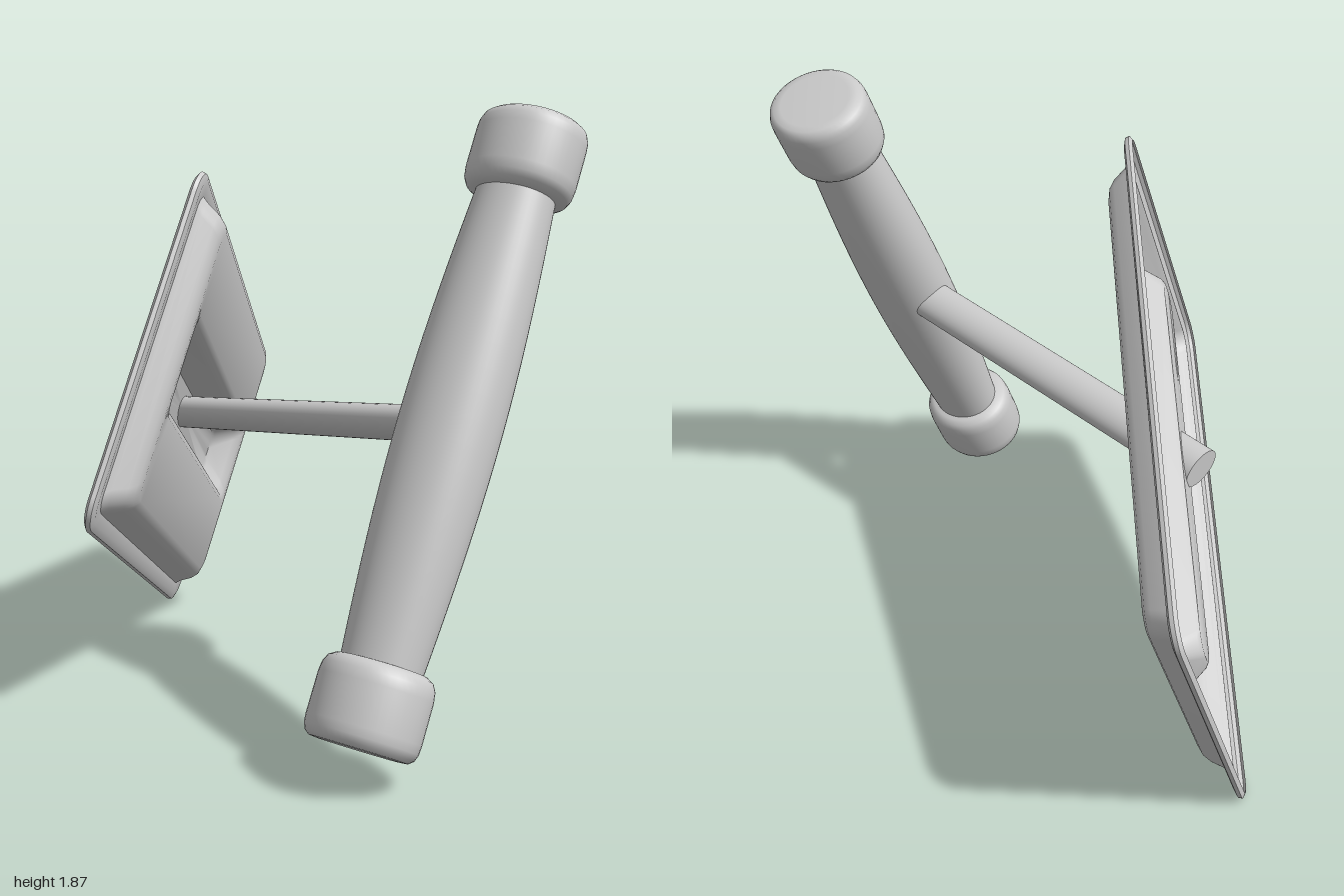
import * as THREE from 'three';
import { toCreasedNormals } from 'three/addons/utils/BufferGeometryUtils.js';

const material = new THREE.MeshStandardMaterial({ color: 0xcccccc });
const sheet = new THREE.MeshStandardMaterial({ color: 0xcccccc, side: THREE.DoubleSide });

function add(parent, name, geometry, mat = material) {
  const mesh = new THREE.Mesh(geometry, mat);
  mesh.name = name;
  parent.add(mesh);
  return mesh;
}

// Counter-clockwise rounded rectangle with the same point count for any size
function roundedRect(a, b, r, d, steps = 8) {
  const points = [];
  for (let q = 0; q < 4; q++) {
    const sx = q === 0 || q === 3 ? 1 : -1;
    const sy = q < 2 ? 1 : -1;
    for (let i = 0; i <= steps; i++) {
      const t = (q + i / steps) * Math.PI / 2;
      points.push([sx * (a - r) + r * Math.cos(t), sy * (b - r) + r * Math.sin(t), d]);
    }
  }
  return points;
}

// Loft through concentric rings, closed by a flat fan in the last ring
function loftRings(rings) {
  const n = rings[0].length;
  const position = rings.flat(2);
  const index = [];
  for (let j = 0; j < rings.length - 1; j++) {
    for (let k = 0; k < n; k++) {
      const a = j * n + k, b = j * n + (k + 1) % n;
      index.push(a, b, b + n, a, b + n, a + n);
    }
  }
  const centre = position.length / 3;
  const last = (rings.length - 1) * n;
  position.push(0, 0, rings[rings.length - 1][0][2]);
  for (let k = 0; k < n; k++) index.push(last + k, last + (k + 1) % n, centre);
  const geometry = new THREE.BufferGeometry();
  geometry.setAttribute('position', new THREE.Float32BufferAttribute(position, 3));
  geometry.setIndex(index);
  return toCreasedNormals(geometry, 0.65);
}

function lathe(profile, flatten) {
  const geometry = new THREE.LatheGeometry(profile.map(p => new THREE.Vector2(...p)), 48);
  geometry.scale(flatten, 1, 1);
  return toCreasedNormals(geometry, 0.7);
}

export function createModel() {
  const model = new THREE.Group();
  model.name = 'paddle';

  // Everything leans sideways together
  const lean = new THREE.Group();
  lean.name = 'leaningAssembly';
  lean.position.y = 0.845;
  lean.rotation.z = -0.457;
  model.add(lean);

  // Pressed tray: rim, sloped wall, front face, sunken slot (half length, half width, corner, depth)
  const tray = add(lean, 'trayPanel', loftRings([
    [0.925, 0.56, 0.075, -0.005],
    [0.94, 0.575, 0.09, 0.005],
    [0.936, 0.571, 0.086, 0.018],
    [0.915, 0.55, 0.07, 0.026],
    [0.87, 0.51, 0.055, 0.022],
    [0.858, 0.498, 0.06, 0.04],
    [0.838, 0.478, 0.06, 0.08],
    [0.822, 0.46, 0.06, 0.1],
    [0.80, 0.435, 0.06, 0.11],
    [0.775, 0.165, 0.05, 0.11],
    [0.76, 0.145, 0.045, 0.102],
    [0.745, 0.125, 0.045, 0.08],
    [0.715, 0.085, 0.06, 0.015],
    [0.705, 0.075, 0.065, 0.005],
  ].map(ring => roundedRect(...ring))), sheet);
  tray.position.z = -0.48;
  tray.rotation.y = 0.585;

  // Grip, swelling towards the middle
  const grip = new THREE.Group();
  grip.name = 'handle';
  grip.position.set(-0.28, 0, 0.83);
  lean.add(grip);
  const swell = [];
  for (let i = 0; i <= 20; i++) {
    const t = i / 10 - 1;
    swell.push([0.12 + 0.037 * Math.cos(t * Math.PI / 2), 0.76 * t]);
  }
  add(grip, 'grip', lathe(swell, 0.88));

  // Mirrored end caps
  const capProfile = [
    [0.1, 0.705], [0.135, 0.708], [0.155, 0.72], [0.166, 0.74], [0.17, 0.77],
    [0.17, 0.89], [0.168, 0.915], [0.16, 0.935], [0.145, 0.946], [0.12, 0.948], [0, 0.948],
  ];
  for (const side of [1, -1]) {
    const cap = add(grip, side > 0 ? 'topCap' : 'bottomCap', lathe(capProfile, 0.92));
    if (side < 0) cap.rotation.z = Math.PI;
  }

  // Oval rod from the grip through the tray
  const start = new THREE.Vector3(-0.275, 0, 0.83);
  const end = new THREE.Vector3(0.015, 0, -0.54);
  const rodGeometry = new THREE.CylinderGeometry(1, 1, start.distanceTo(end), 32);
  rodGeometry.scale(0.072, 1, 0.052);
  rodGeometry.rotateX(-Math.PI / 2);
  const rod = add(lean, 'connectingRod', rodGeometry);
  rod.position.addVectors(start, end).multiplyScalar(0.5);
  rod.rotation.y = Math.atan2(start.x - end.x, start.z - end.z);

  return model;
}
